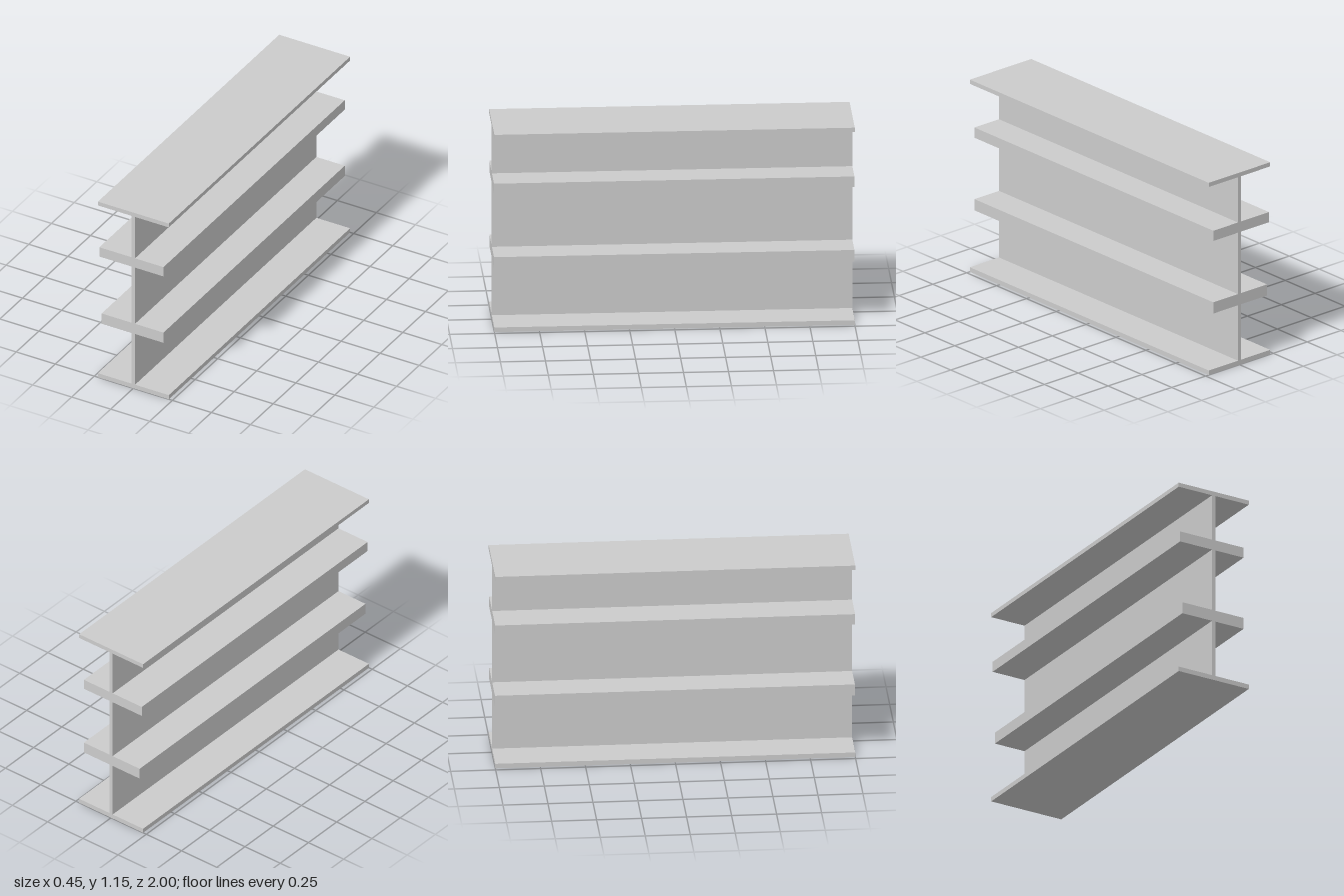
import * as THREE from 'three';

export function createModel() {
  const group = new THREE.Group();
  const material = new THREE.MeshStandardMaterial({ color: 0xcccccc, flatShading: true });
  const length = 2;

  // Full-length bar given by its cross-section limits
  function bar(name, x0, x1, y0, y1) {
    const mesh = new THREE.Mesh(new THREE.BoxGeometry(x1 - x0, y1 - y0, length), material);
    mesh.position.set((x0 + x1) / 2, (y0 + y1) / 2, 0);
    mesh.name = name;
    group.add(mesh);
  }

  // Horizontal plates from bottom to top: name, x range, y range
  const plates = [
    ['bottomFlange', -0.227, 0.227, 0, 0.027],
    ['lowerShelf', -0.203, 0.193, 0.359, 0.426],
    ['upperShelf', -0.218, 0.193, 0.794, 0.855],
    ['topFlange', -0.227, 0.227, 1.126, 1.151],
  ];
  plates.forEach((plate) => bar(...plate));

  // Thin upright web filling the gaps between the plates
  const webNames = ['lowerWeb', 'middleWeb', 'upperWeb'];
  webNames.forEach((name, i) => bar(name, -0.011, 0.011, plates[i][4], plates[i + 1][3]));

  return group;
}
